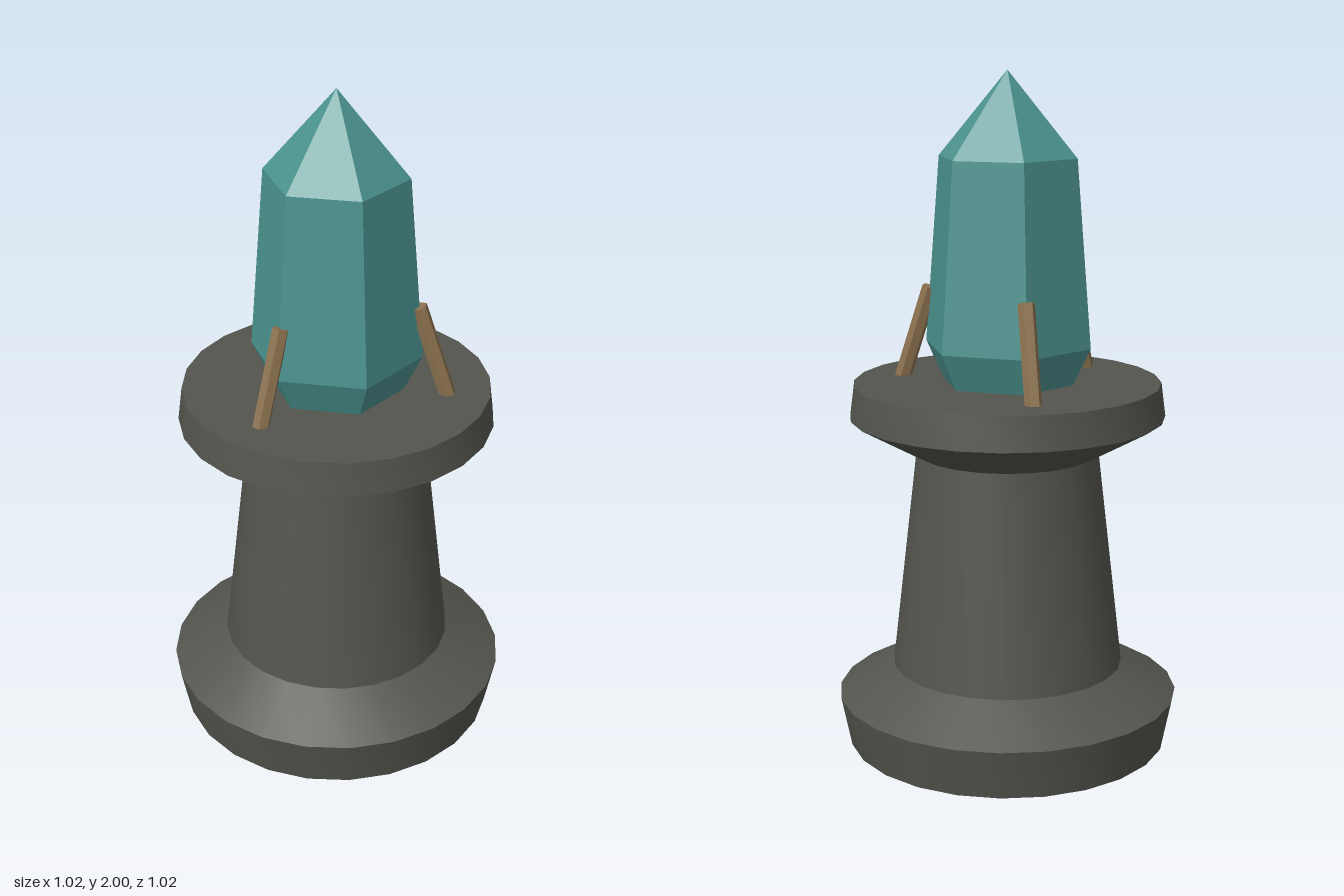
import * as THREE from 'three';
import { toCreasedNormals } from 'three/addons/utils/BufferGeometryUtils.js';

const material = (name, color, flatShading = false) => {
  const m = new THREE.MeshStandardMaterial({ color, flatShading });
  m.name = name;
  return m;
};

// Turned solid from [radius, height] pairs, listed bottom to top
const turned = (profile, sides) =>
  new THREE.LatheGeometry(profile.map(([r, y]) => new THREE.Vector2(r, y)), sides);

export function createModel() {
  const stone = material('dark stone', 0x54554e);
  const crystalTeal = material('teal crystal', 0x4c9490, true);
  const bronze = material('bronze', 0x8c7350, true);

  const model = new THREE.Group();
  model.name = 'crystalPedestal';
  const add = (name, geometry, mat, parent = model) => {
    const mesh = new THREE.Mesh(geometry, mat);
    mesh.name = name;
    parent.add(mesh);
    return mesh;
  };

  // Round pedestal: flared foot, tapered column, overhanging table
  const pedestal = turned([
    [0, 0], [0.48, 0], [0.51, 0.15], [0.345, 0.24],
    [0.27, 0.89], [0.465, 1.0], [0.452, 1.1], [0, 1.1],
  ], 24);
  add('pedestal', toCreasedNormals(pedestal, 0.5), stone);

  // Six-sided crystal, its foot sunk slightly into the table
  const crystal = add('crystal', turned([
    [0, 1.06], [0.18, 1.06], [0.252, 1.21], [0.208, 1.755], [0, 2],
  ], 6), crystalTeal);
  crystal.rotation.y = Math.PI / 6; // corners on the x axis

  // Three leaning prongs holding the crystal
  const foot = new THREE.Vector3(0.332, 1.08, 0);
  const tip = new THREE.Vector3(0.237, 1.37, 0);
  const lean = tip.clone().sub(foot);
  const prongGeometry = new THREE.CylinderGeometry(0.025, 0.025, lean.length(), 6);
  for (let i = 0; i < 3; i++) {
    const holder = new THREE.Group();
    holder.name = `prongHolder${i + 1}`;
    holder.rotation.y = (i * Math.PI * 2) / 3;
    const prong = add('prong', prongGeometry, bronze, holder);
    prong.position.copy(foot).add(tip).multiplyScalar(0.5);
    prong.rotation.z = Math.atan2(-lean.x, lean.y);
    model.add(holder);
  }

  return model;
}
